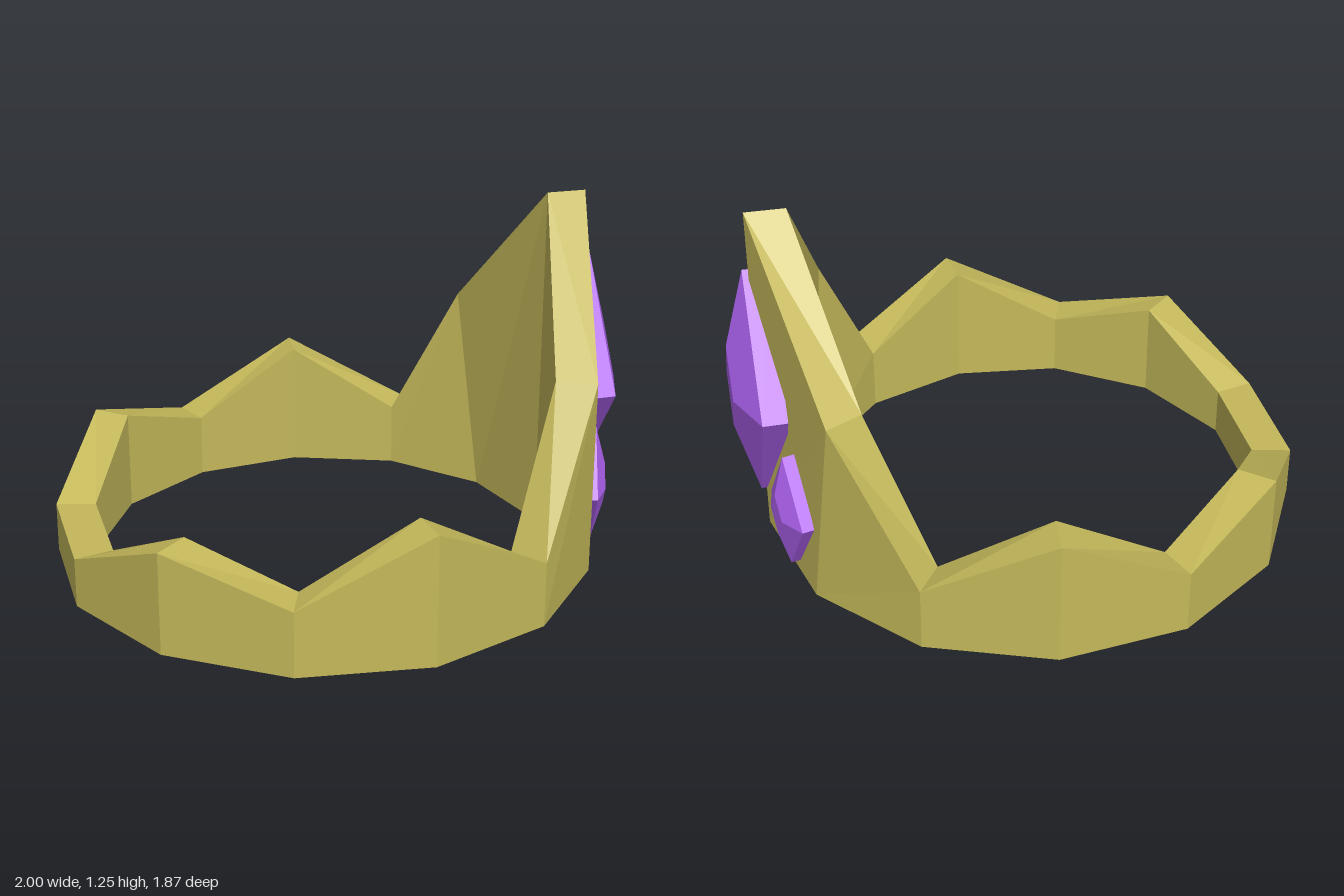
import * as THREE from 'three';

const gold = new THREE.MeshStandardMaterial({ color: 0xc4b85a, flatShading: true });
const purple = new THREE.MeshStandardMaterial({ color: 0xae62f0, flatShading: true });

// Thirteen-sided band whose top edge rises and falls from corner to corner
function crownBand() {
  const heights = [0.46, 0.23, 0.74, 1.25, 0.74, 0.23, 0.46, 0.23, 0.36, 0.175, 0.175, 0.36, 0.23];
  // The shoulders beside the tall peak splay sideways at the top: [dx, dz]
  const splay = { 2: [-0.07, -0.1], 4: [-0.035, 0.11] };
  const n = heights.length;
  const section = (i) => {
    const a = (i / n) * Math.PI * 2;
    const [dx, dz] = splay[i] || [0, 0];
    const corner = (r, top) => [
      -0.055 + r * Math.sin(a) + (top ? dx : 0),
      top ? heights[i] : 0,
      0.01 - r * Math.cos(a) + (top ? dz : 0),
    ];
    return [corner(0.95, false), corner(0.95, true), corner(0.81, true), corner(0.81, false)];
  };

  const positions = [];
  for (let i = 0; i < n; i++) {
    const a = section(i);
    const b = section((i + 1) % n);
    for (let k = 0; k < 4; k++) {
      const m = (k + 1) % 4;
      positions.push(...b[k], ...a[k], ...a[m], ...b[k], ...a[m], ...b[m]);
    }
  }
  const geometry = new THREE.BufferGeometry();
  geometry.setAttribute('position', new THREE.Float32BufferAttribute(positions, 3));
  geometry.computeVertexNormals();
  const mesh = new THREE.Mesh(geometry, gold);
  mesh.name = 'crownBand';
  return mesh;
}

// Diamond-shaped cut gem: straight girdle, bevelled front and flat table
function gem(name, halfWidth, halfHeight, position, yaw) {
  const d = halfWidth / 0.285;
  const profile = [[0, -0.085], [1, -0.085], [1, 0], [0.36, 0.075], [0, 0.075]]
    .map(([r, y]) => new THREE.Vector2(r, y * d));
  const geometry = new THREE.LatheGeometry(profile, 4);
  geometry.rotateX(Math.PI / 2);
  geometry.scale(halfWidth, halfHeight, 1);
  const mesh = new THREE.Mesh(geometry, purple);
  mesh.name = name;
  mesh.position.set(...position);
  mesh.rotation.set(0, Math.PI / 2 + yaw, 0.03);
  return mesh;
}

export function createModel() {
  const group = new THREE.Group();
  group.name = 'crown';
  group.add(
    crownBand(),
    gem('largeGem', 0.287, 0.437, [0.908, 0.592, -0.1], 0.14),
    gem('smallGemFront', 0.142, 0.215, [0.88, 0.265, 0.195], -0.16),
    gem('smallGemBack', 0.145, 0.217, [0.81, 0.263, -0.4], 0.37),
  );
  return group;
}
